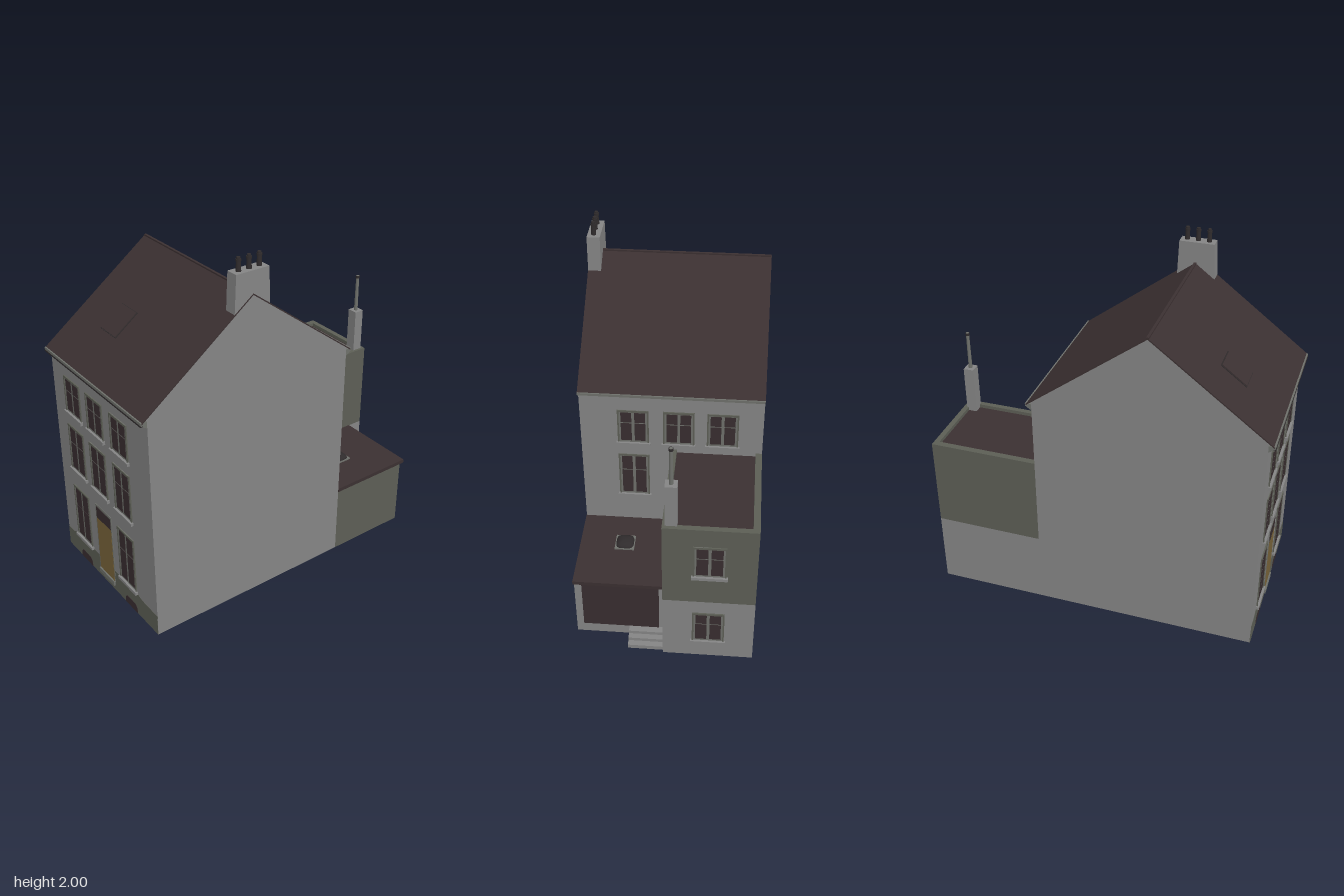
import * as THREE from 'three';

export function createModel() {
  const house = new THREE.Group();
  house.name = 'townhouse';
  const mat = (name, color) => {
    const m = new THREE.MeshStandardMaterial({ color, side: THREE.DoubleSide });
    m.name = name;
    return m;
  };
  const stone = mat('grey stone', 0x848484);
  const olive = mat('olive render', 0x5c5e55);
  const trim = mat('window trim', 0x6e706b);
  const slate = mat('brown slate', 0x3b3031);
  const glass = mat('dark glass', 0x382d2f);
  const doorPaint = mat('ochre paint', 0x77633a);
  const dark = mat('dark clay', 0x2f2b2c);

  const add = (name, geo, m, parent = house) => {
    const mesh = new THREE.Mesh(geo, m);
    mesh.name = name;
    parent.add(mesh);
    return mesh;
  };
  // Box given by its limits on each axis
  const block = (name, m, x0, x1, y0, y1, z0, z1, parent) => {
    const g = new THREE.BoxGeometry(x1 - x0, y1 - y0, z1 - z0);
    g.translate((x0 + x1) / 2, (y0 + y1) / 2, (z0 + z1) / 2);
    return add(name, g, m, parent);
  };
  const outline = pts => new THREE.Shape(pts.map(p => new THREE.Vector2(...p)));
  // Flat wall facing z (points are x, y) or facing x (points are z, y)
  const wallZ = (name, m, z, pts) =>
    add(name, new THREE.ShapeGeometry(outline(pts)).translate(0, 0, z), m);
  const wallX = (name, m, x, pts) =>
    add(name, new THREE.ShapeGeometry(outline(pts)).rotateY(-Math.PI / 2).translate(x, 0, 0), m);
  const rect = (u0, u1, v0, v1) => [[u0, v0], [u1, v0], [u1, v1], [u0, v1]];
  // Profile in z, y swept along x
  const sweep = (name, m, x0, x1, pts) => add(name,
    new THREE.ExtrudeGeometry(outline(pts), { depth: x1 - x0, bevelEnabled: false })
      .rotateY(-Math.PI / 2).translate(x1, 0, 0), m);

  const W = 0.49, F = 0.91, B = -0.33, EB = -0.94, SB = -0.82;

  // Main house walls, open underneath
  const gable = [[F, 0], [F, 1.34], [0.29, 1.807], [B, 1.34], [B, 0]];
  wallX('leftGable', stone, W, gable);
  wallX('rightGable', stone, -W, gable);
  wallZ('frontWall', stone, F, rect(-W, W, 0, 1.32));
  wallZ('backWall', stone, B,
    [[-W, 0.9], [0, 0.9], [0, 0.4], [W, 0.4], [W, 1.32], [-W, 1.32]]);

  // Pitched roof, eaves and ridge
  sweep('mainRoof', slate, -W - 0.001, W + 0.001, [[0.94, 1.32], [0.29, 1.811], [-0.36, 1.32],
    [-0.36, 1.312], [0.29, 1.803], [0.94, 1.312]]);
  sweep('frontCornice', trim, -W, W, [[F, 1.285], [0.92, 1.29], [0.945, 1.308], [0.945, 1.322], [F, 1.322]]);
  sweep('backCornice', trim, -W, W, [[B, 1.285], [-0.34, 1.29], [-0.365, 1.308], [-0.365, 1.322], [B, 1.322]]);
  block('frontGutterLine', dark, -W, W, 1.3, 1.308, 0.93, 0.947);
  block('ridge', slate, -W, 0.42, 1.8, 1.814, 0.283, 0.297);

  // Roof hatch lying on the front slope
  const hatch = add('roofHatch', new THREE.BoxGeometry(0.145, 0.016, 0.165), slate);
  hatch.position.set(-0.157, 1.526, 0.667);
  hatch.rotation.x = Math.atan(0.755);
  const hatchRim = add('roofHatchRim', new THREE.BoxGeometry(0.153, 0.012, 0.173), dark);
  hatchRim.position.set(-0.157, 1.524, 0.666);
  hatchRim.rotation.x = Math.atan(0.755);

  // Main chimney with three pots
  sweep('mainChimney', stone, 0.42, W, [[0.402, 1.71], [0.392, 1.93], [0.196, 1.93], [0.188, 1.71]]);
  for (const z of [0.355, 0.293, 0.232]) {
    add('chimneyPot', new THREE.CylinderGeometry(0.01, 0.014, 0.075, 10).translate(0.457, 1.965, z), dark);
    add('chimneyPotRim', new THREE.CylinderGeometry(0.014, 0.014, 0.012, 10).translate(0.457, 1.987, z), dark);
  }

  // Sash window built around the origin, facing +z and also seen from behind
  const sash = (name, x, y0, y1, z, turn = 0, w = 0.16) => {
    const g = new THREE.Group();
    g.name = name;
    const h = w / 2, H = y1 - y0, split = H * 0.62;
    block('frame', trim, -h, h, 0, H, -0.003, 0.003, g);
    for (const s of [-1, 1]) {
      const a = s * 0.008, b = s * (h - 0.014);
      const [l, r] = [Math.min(a, b), Math.max(a, b)];
      block('lowerPane', glass, l, r, 0.018, split - 0.003, -0.0045, 0.0045, g);
      block('upperPane', glass, l, r, split + 0.003, H - 0.016, -0.0045, 0.0045, g);
      block('jamb', olive, s * h - 0.004, s * h + 0.004, 0, H, -0.004, 0.007, g);
    }
    block('lintel', olive, -h, h, H - 0.012, H, -0.004, 0.007, g);
    block('sill', stone, -h - 0.012, h + 0.012, -0.012, 0.006, -0.004, 0.016, g);
    g.position.set(x, y0, z);
    g.rotation.y = turn;
    house.add(g);
  };
  const columns = [-0.275, -0.04, 0.205];
  for (const x of columns) {
    sash('frontTopWindow', x, 0.98, 1.2, F);
    sash('frontMiddleWindow', x, 0.61, 0.9, F);
    if (x !== -0.04) sash('frontGroundWindow', x, 0.15, 0.495, F);
    sash('backTopWindow', x, 0.98, 1.2, B, Math.PI);
  }
  sash('backMiddleWindow', 0.205, 0.61, 0.9, B, Math.PI);

  // Painted plinth and cellar windows
  const plinth = outline([[-W, 0], [W, 0], [W, 0.125], [0.34, 0.128], [0.29, 0.142], [-0.38, 0.142],
    [-0.42, 0.125], [-W, 0.122]]);
  add('plinth', new THREE.ExtrudeGeometry(plinth, { depth: 0.003, bevelEnabled: false })
    .translate(0, 0, F - 0.0015), olive);
  for (const x of [-0.277, 0.222]) {
    const arch = outline([[x - 0.065, 0], [x + 0.065, 0], [x + 0.06, 0.035], [x + 0.045, 0.052],
      [x - 0.045, 0.052], [x - 0.06, 0.035]]);
    add('cellarWindow', new THREE.ExtrudeGeometry(arch, { depth: 0.006, bevelEnabled: false })
      .translate(0, 0, F - 0.003), glass);
  }

  // Front door
  block('doorFrame', trim, -0.118, 0.053, 0.035, 0.502, F - 0.003, F + 0.003);
  block('frontDoor', doorPaint, -0.108, 0.046, 0.065, 0.415, F - 0.0045, F + 0.0045);
  block('fanlight', glass, -0.108, 0.044, 0.415, 0.488, F - 0.0045, F + 0.0045);
  block('doorStep', trim, -0.112, 0.05, 0.035, 0.064, F - 0.003, F + 0.012);

  // Two-storey rear wing
  wallX('wingOuterLowerWall', stone, -W, rect(EB, B, 0, 0.425));
  wallX('wingOuterUpperWall', olive, -W, rect(EB, B, 0.425, 0.945));
  wallX('wingInnerLowerWall', stone, 0, rect(EB, SB, 0, 0.42));
  wallX('wingInnerUpperWall', olive, 0, rect(EB, B, 0.42, 0.945));
  wallZ('wingBackLowerWall', stone, EB, rect(-W, 0, 0, 0.425));
  wallZ('wingBackUpperWall', olive, EB, rect(-W, 0, 0.425, 0.945));
  block('wingRoof', slate, -W + 0.002, -0.002, 0.915, 0.925, EB + 0.002, B);
  block('outerParapet', olive, -W, -W + 0.035, 0.91, 0.945, EB, B);
  block('innerParapet', olive, -0.03, 0, 0.91, 0.945, EB, B);
  block('backParapet', olive, -W, 0, 0.91, 0.945, EB, EB + 0.03);
  sash('wingUpperWindow', -0.245, 0.615, 0.83, EB, Math.PI, 0.165);
  sash('wingLowerWindow', -0.245, 0.12, 0.34, EB, Math.PI, 0.165);
  sash('wingSideWindow', 0, 0.615, 0.83, -0.68, Math.PI / 2);

  // Wing chimney with a tall flue
  block('wingChimney', stone, -0.077, -0.015, 0.92, 1.2, -0.92, -0.862);
  add('wingFlue', new THREE.CylinderGeometry(0.009, 0.011, 0.225, 10).translate(-0.046, 1.31, -0.891), trim);
  add('wingFlueRim', new THREE.CylinderGeometry(0.012, 0.012, 0.014, 10).translate(-0.046, 1.415, -0.891), dark);

  // Single-storey rear room
  wallX('roomSideWall', olive, W, rect(SB, B, 0, 0.42));
  wallZ('roomBackWall', stone, SB, rect(0, W, 0, 0.42));
  block('roomGlazing', glass, 0.03, 0.45, 0.065, 0.375, SB - 0.004, SB + 0.004);
  block('roomRoof', slate, 0, W + 0.002, 0.4, 0.422, -0.848, B);

  // Rooflight on a square curb
  block('rooflightCurb', trim, 0.188, 0.296, 0.42, 0.43, -0.592, -0.486);
  const dome = new THREE.SphereGeometry(1, 24, 8, 0, Math.PI * 2, 0, Math.PI / 2);
  const p = dome.attributes.position;
  for (let i = 0; i < p.count; i++) {
    const x = p.getX(i), z = p.getZ(i), r = Math.hypot(x, z);
    const k = r > 1e-6 ? r / Math.pow(x ** 4 + z ** 4, 0.25) : 1; // rounded-square plan
    p.setXYZ(i, x * k * 0.049, p.getY(i) * 0.026, z * k * 0.049);
  }
  dome.computeVertexNormals();
  add('rooflightDome', dome.translate(0.242, 0.43, -0.539), dark);

  // Garden steps
  [[0.065, -0.86], [0.045, -0.892], [0.025, -0.925]].forEach(([y, z]) =>
    block('gardenStep', stone, 0, 0.195, y - 0.025, y, z, SB));

  return house;
}
